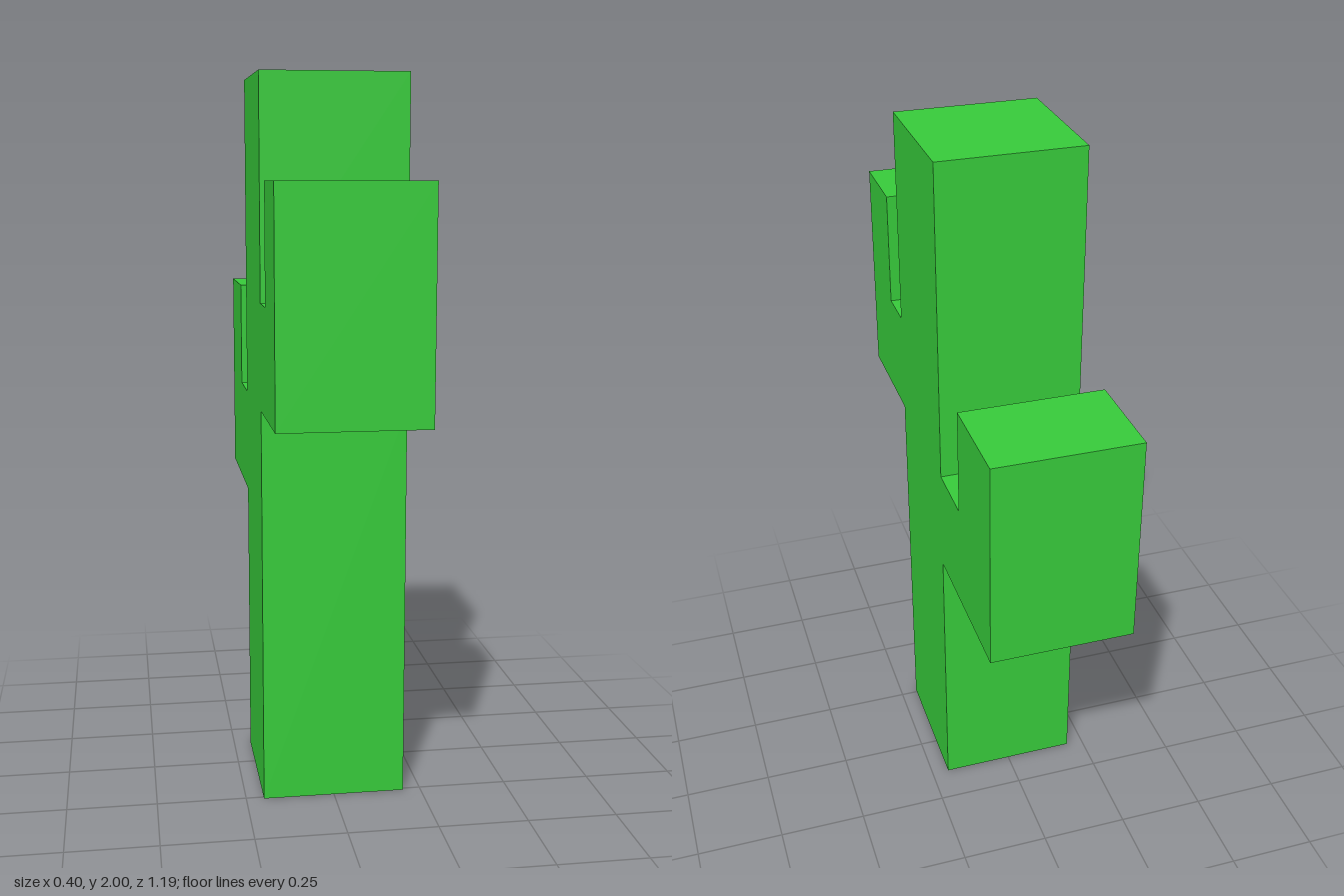
import * as THREE from 'three';

const WIDTH = 0.4;

export function createModel() {
  const group = new THREE.Group();
  group.name = 'cactus';

  const green = new THREE.MeshStandardMaterial({ color: 0x37cb3b });
  green.name = 'cactus green';

  // Side outline as [z, y]: trunk, high front arm and low back arm
  const outline = [
    [-0.14, 0], [0.26, 0],
    [0.26, 1.11], [0.595, 1.11], [0.595, 1.72], [0.38, 1.72], [0.38, 1.4], [0.26, 1.4],
    [0.26, 2], [-0.14, 2],
    [-0.14, 1.105], [-0.315, 1.105], [-0.315, 1.405], [-0.595, 1.405], [-0.595, 0.81], [-0.14, 0.81],
  ];
  const shape = new THREE.Shape(outline.map(([z, y]) => new THREE.Vector2(z, y)));

  // Extrude across the width, then turn the outline into the z-y plane
  const geometry = new THREE.ExtrudeGeometry(shape, { depth: WIDTH, bevelEnabled: false });
  geometry.translate(0, 0, -WIDTH / 2);
  geometry.rotateY(-Math.PI / 2);

  const body = new THREE.Mesh(geometry, green);
  body.name = 'trunkAndArms';
  group.add(body);
  return group;
}
